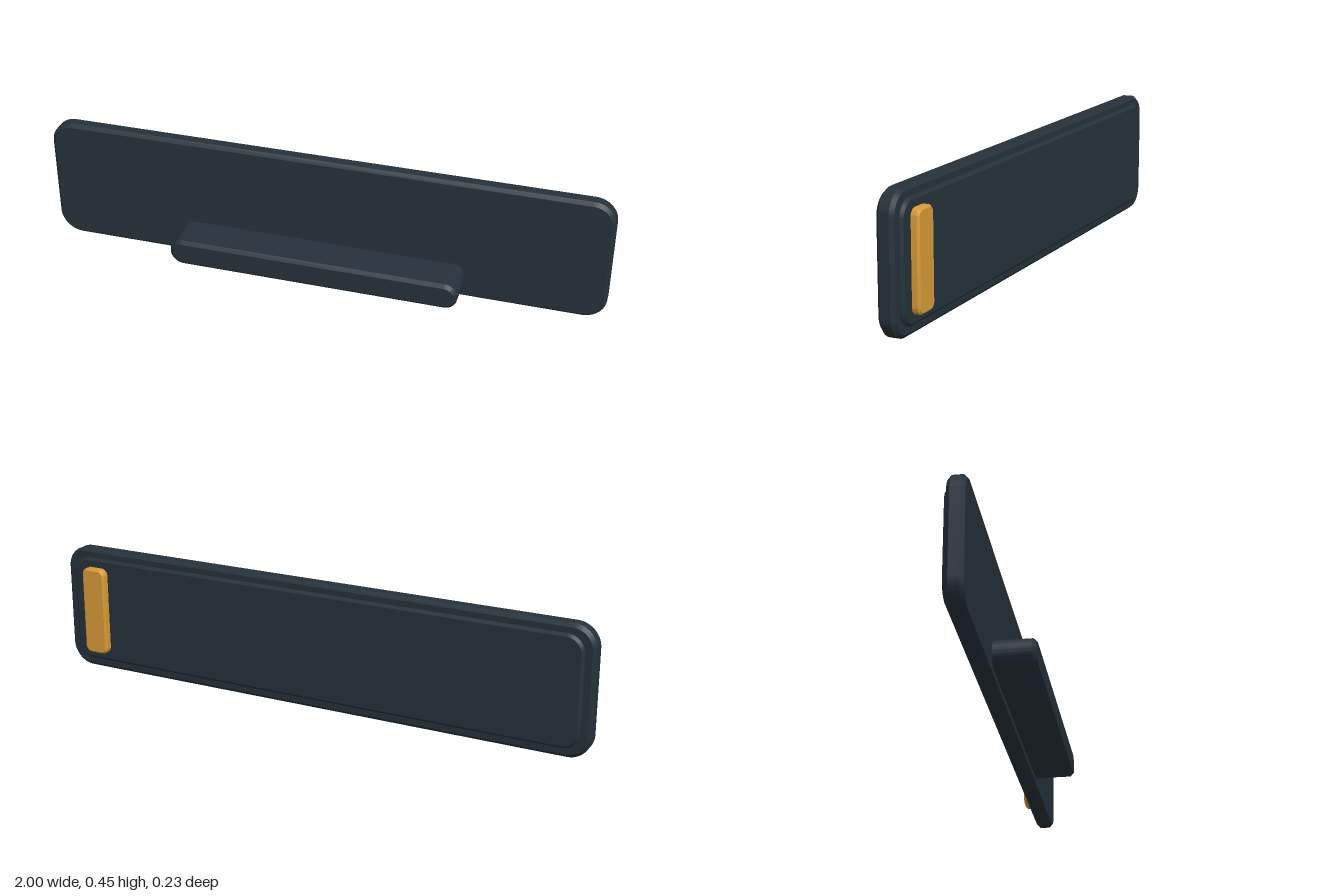
import * as THREE from 'three';
import { toCreasedNormals } from 'three/addons/utils/BufferGeometryUtils.js';

// Rounded rectangle extruded along z with a small chamfer on its rims
function roundedSlab(x0, x1, y0, y1, z0, z1, radius, bevel) {
  // The outline is inset by the chamfer, which grows it back to full size
  const l = x0 + bevel, r = x1 - bevel, b = y0 + bevel, t = y1 - bevel;
  const c = radius - bevel;
  const s = new THREE.Shape();
  s.absarc(r - c, b + c, c, -Math.PI / 2, 0);
  s.absarc(r - c, t - c, c, 0, Math.PI / 2);
  s.absarc(l + c, t - c, c, Math.PI / 2, Math.PI);
  s.absarc(l + c, b + c, c, Math.PI, Math.PI * 1.5);
  const geometry = new THREE.ExtrudeGeometry(s, {
    depth: z1 - z0 - 2 * bevel,
    bevelEnabled: true,
    bevelThickness: bevel,
    bevelSize: bevel,
    bevelSegments: 1,
    curveSegments: 8,
  });
  geometry.translate(0, 0, z0 + bevel);
  return toCreasedNormals(geometry, 0.6);
}

export function createModel() {
  const group = new THREE.Group();
  const slate = new THREE.MeshStandardMaterial({ color: 0x25313a });
  slate.name = 'dark slate';
  const amber = new THREE.MeshStandardMaterial({ color: 0xd89a38 });
  amber.name = 'amber';

  const add = (name, material, ...size) => {
    const mesh = new THREE.Mesh(roundedSlab(...size), material);
    mesh.name = name;
    group.add(mesh);
  };

  // Main panel
  add('panel', slate, -1, 1, 0, 0.452, -0.079, -0.021, 0.08, 0.012);
  // Raised plate on the back
  add('backPlate', slate, -0.965, 0.965, 0.034, 0.42, -0.091, -0.06, 0.06, 0.009);
  // Amber bar near one end of the back
  add('accentBar', amber, 0.82, 0.915, 0.067, 0.388, -0.117, -0.08, 0.025, 0.007);
  // Ledge projecting from the front
  add('ledge', slate, -0.515, 0.515, 0.034, 0.13, -0.04, 0.118, 0.046, 0.012);

  return group;
}
